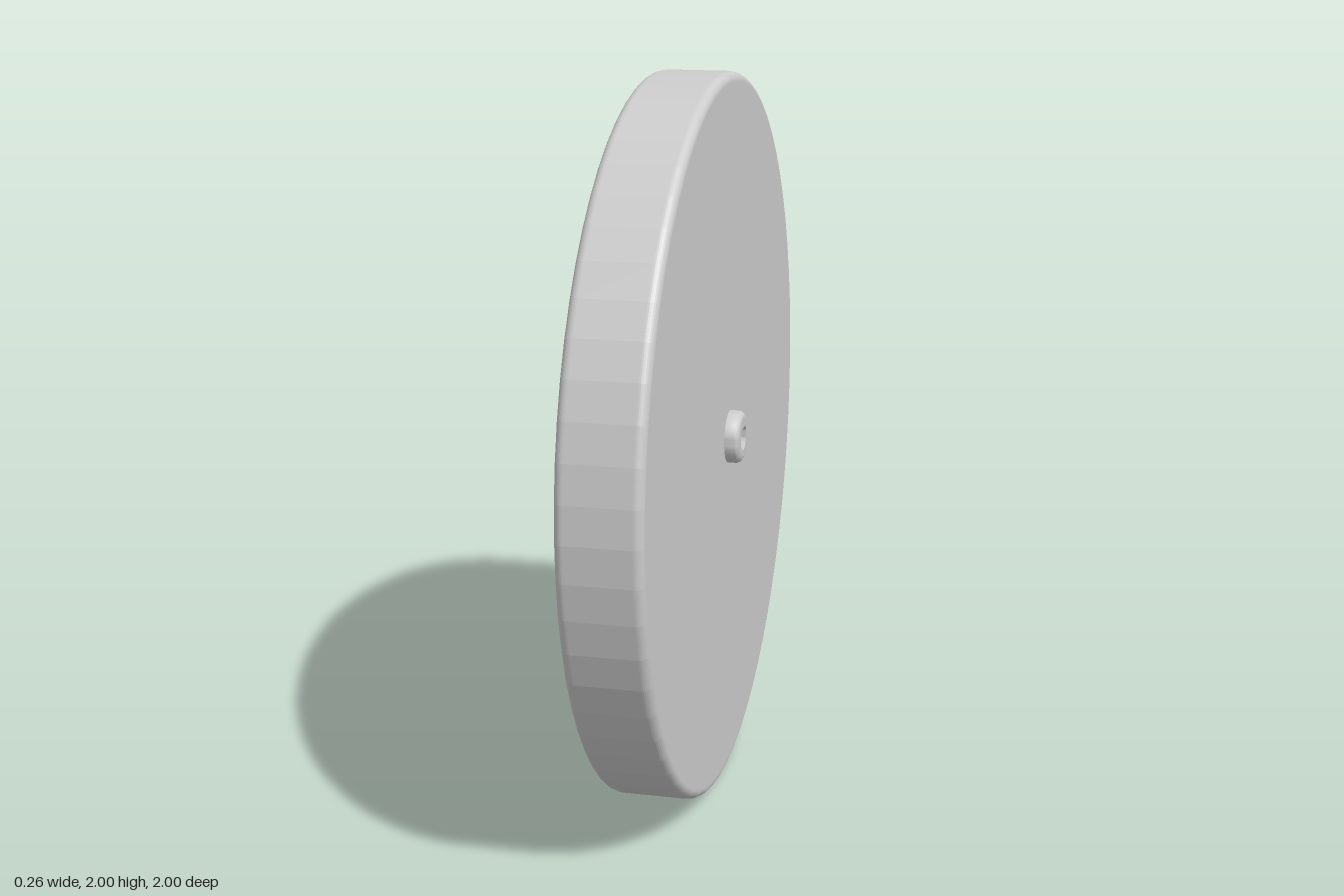
import * as THREE from 'three';
import { toCreasedNormals } from 'three/addons/utils/BufferGeometryUtils.js';

const material = (opts = {}) => new THREE.MeshStandardMaterial({ color: 0xcccccc, ...opts });

// Quarter-round corner points centred on (r, h), from angle a0 to a0 + 90 degrees
function corner(r, h, radius, a0, steps = 8) {
  return Array.from({ length: steps + 1 }, (_, i) => {
    const a = a0 + (i / steps) * Math.PI / 2;
    return new THREE.Vector2(r + radius * Math.cos(a), h + radius * Math.sin(a));
  });
}

export function createModel() {
  const model = new THREE.Group();
  const wheel = new THREE.Group();
  wheel.name = 'wheel';
  wheel.position.y = 1;
  model.add(wheel);

  const add = (name, geometry, mat = material()) => {
    const mesh = new THREE.Mesh(geometry, mat);
    mesh.name = name;
    wheel.add(mesh);
  };

  // The axle runs along x
  const back = -0.13, front = 0.09, hubEnd = 0.13;
  const fillet = 0.025, hubRadius = 0.073, hubFillet = 0.018;
  const boreRadius = 0.037, boreFlat = 0.027, boreFloor = -0.04;

  // Disc with rounded rims
  const disc = new THREE.LatheGeometry([
    new THREE.Vector2(0, back),
    ...corner(1 - fillet, back + fillet, fillet, -Math.PI / 2),
    ...corner(1 - fillet, front - fillet, fillet, 0),
    new THREE.Vector2(0.06, front),
  ], 64).rotateZ(-Math.PI / 2);
  add('disc', disc, material({ flatShading: true }));

  // Raised hub with a rounded edge
  const hub = new THREE.LatheGeometry([
    new THREE.Vector2(hubRadius, front),
    ...corner(hubRadius - hubFillet, hubEnd - hubFillet, hubFillet, 0),
  ], 48).rotateZ(-Math.PI / 2);
  add('hub', toCreasedNormals(hub, 0.5));

  // D-shaped outline, flat at the top
  const flatAngle = Math.asin(boreFlat / boreRadius);
  const dPath = (path) => path.absarc(0, 0, boreRadius, Math.PI - flatAngle, flatAngle + Math.PI * 2, false).closePath();

  // Hub end face, open around the bore
  const face = new THREE.Shape().absarc(0, 0, hubRadius - hubFillet, 0, Math.PI * 2, false);
  face.holes.push(dPath(new THREE.Path()));
  add('hubFace', new THREE.ShapeGeometry(face, 24).rotateY(Math.PI / 2).translate(hubEnd, 0, 0));

  // Bore wall: a tube flattened along its top
  const wall = new THREE.CylinderGeometry(boreRadius, boreRadius, hubEnd - boreFloor, 48, 1, true)
    .rotateZ(-Math.PI / 2).translate((hubEnd + boreFloor) / 2, 0, 0);
  const p = wall.attributes.position;
  for (let i = 0; i < p.count; i++) p.setY(i, Math.min(p.getY(i), boreFlat));
  add('boreWall', toCreasedNormals(wall, 0.5), material({ side: THREE.DoubleSide }));

  // Bore floor
  const floor = dPath(new THREE.Shape());
  add('boreFloor', new THREE.ShapeGeometry(floor, 24).rotateY(Math.PI / 2).translate(boreFloor, 0, 0));

  return model;
}
